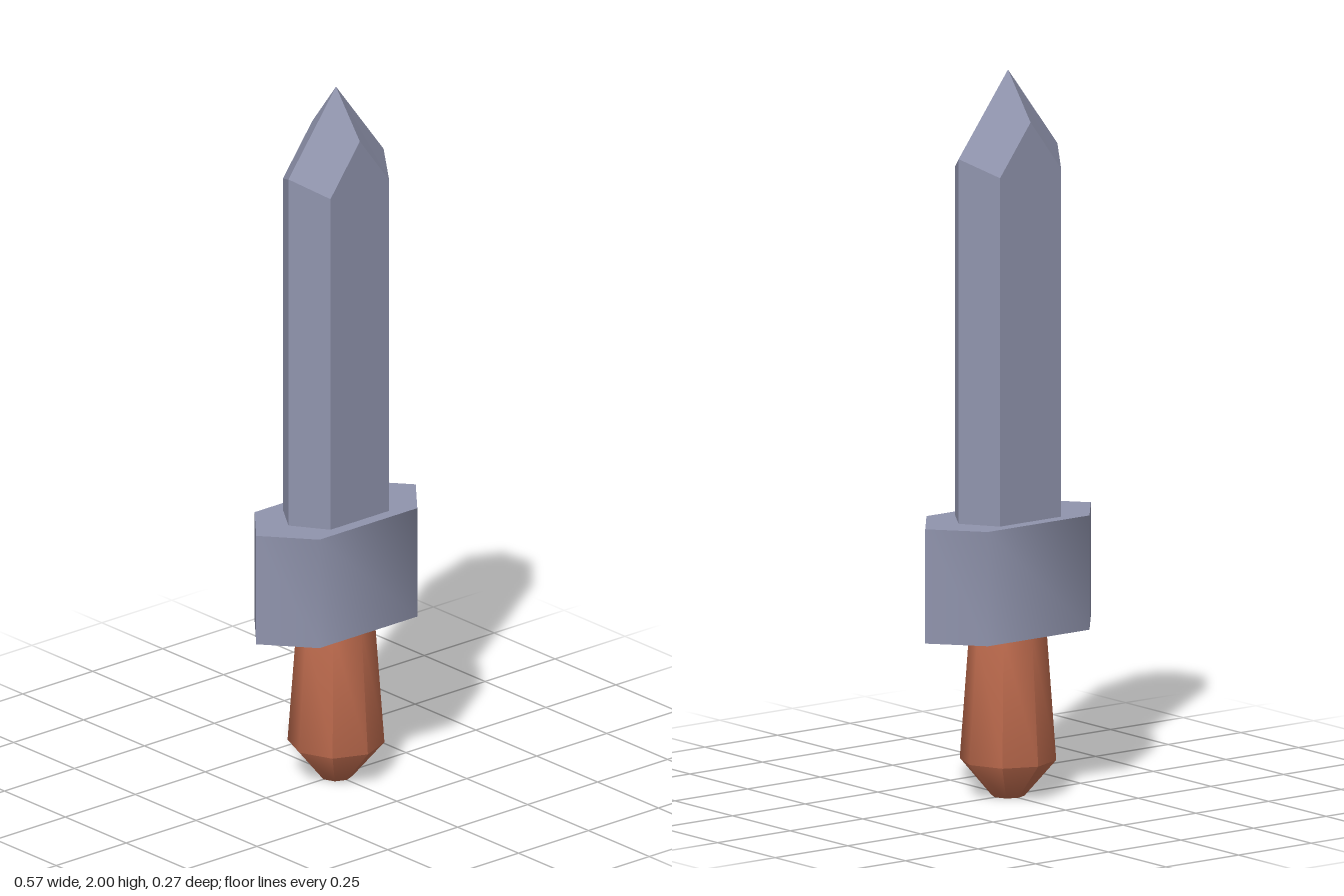
import * as THREE from 'three';
import { toCreasedNormals } from 'three/addons/utils/BufferGeometryUtils.js';

const CREASE = 1.0; // radians; softer corners are shaded smooth

const steel = new THREE.MeshStandardMaterial({ color: 0x9094ad });
steel.name = 'steel';
const leather = new THREE.MeshStandardMaterial({ color: 0xc36e50 });
leather.name = 'leather';

// Bevelled blade: a six-sided bar cut to a point by four sloping planes
function bladeGeometry() {
  const base = 0.77;
  const tip = [0, 2, 0];
  const ring = [
    [0.17, 1.775, 0], [0.105, 1.73, 0.098], [0, 1.87, 0.098], [-0.105, 1.73, 0.098],
    [-0.17, 1.775, 0], [-0.105, 1.73, -0.098], [0, 1.87, -0.098], [0.105, 1.73, -0.098],
  ];
  const positions = [];
  ring.forEach((a, i) => {
    const b = ring[(i + 1) % ring.length];
    const a0 = [a[0], base, a[2]];
    const b0 = [b[0], base, b[2]];
    positions.push(...a0, ...a, ...b, ...a0, ...b, ...b0); // side
    positions.push(...a, ...tip, ...b); // point
    positions.push(...a0, ...b0, 0, base, 0); // underside
  });
  const geometry = new THREE.BufferGeometry();
  geometry.setAttribute('position', new THREE.Float32BufferAttribute(positions, 3));
  geometry.computeVertexNormals();
  return geometry;
}

// Long hexagonal cross guard
function guardGeometry() {
  const outline = new THREE.Shape([
    [0.285, 0], [0.175, 0.133], [-0.175, 0.133],
    [-0.285, 0], [-0.175, -0.133], [0.175, -0.133],
  ].map(([x, y]) => new THREE.Vector2(x, y)));
  const geometry = new THREE.ExtrudeGeometry(outline, { depth: 0.315, bevelEnabled: false });
  geometry.rotateX(-Math.PI / 2).translate(0, 0.455, 0);
  return toCreasedNormals(geometry, CREASE);
}

// Eight-sided grip, swelling towards a blunt pommel
function gripGeometry() {
  const profile = [[0, 0], [0.045, 0], [0.131, 0.1], [0.105, 0.455]]
    .map(([x, y]) => new THREE.Vector2(x, y));
  return toCreasedNormals(new THREE.LatheGeometry(profile, 8), CREASE);
}

export function createModel() {
  const model = new THREE.Group();
  model.name = 'dagger';
  const add = (name, geometry, material) => {
    const mesh = new THREE.Mesh(geometry, material);
    mesh.name = name;
    model.add(mesh);
  };
  add('blade', bladeGeometry(), steel);
  add('guard', guardGeometry(), steel);
  add('grip', gripGeometry(), leather);
  return model;
}
